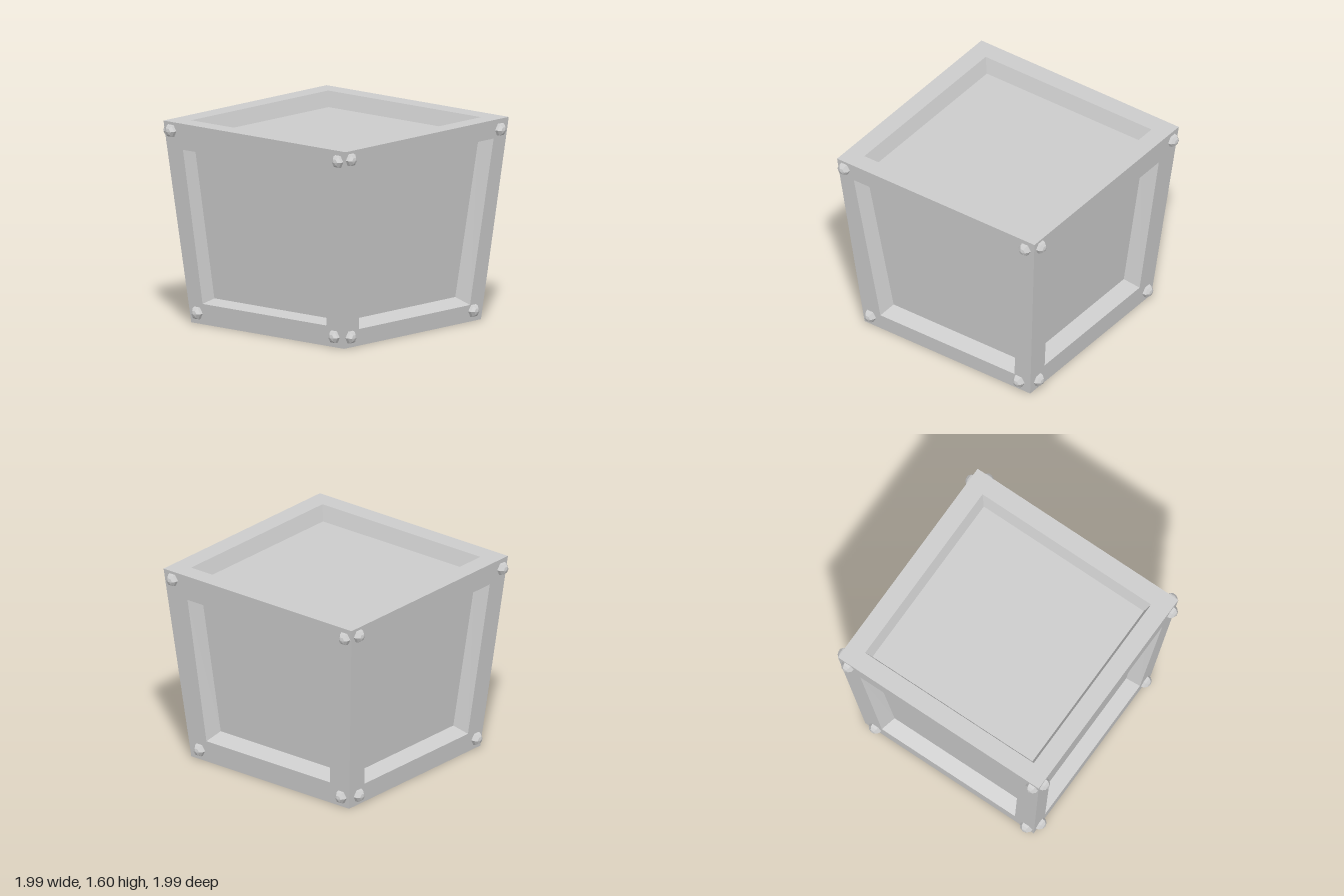
import * as THREE from 'three';

const HEIGHT = 1.6, BASE = 0.797, FLARE = 0.153;   // half width grows by FLARE towards the top
const SLOPE = FLARE / HEIGHT;
const material = new THREE.MeshStandardMaterial({ color: 0xcccccc, flatShading: true });

const halfWidth = (y) => BASE + SLOPE * y;

// Joins nested four-cornered loops with strips, then closes the last one
// (corners run anticlockwise seen from outside)
function recessedFace(name, loops) {
  const positions = [];
  const quad = (a, b, c, d) => [a, b, c, a, c, d].forEach((p) => positions.push(...p));
  for (let k = 0; k < loops.length - 1; k++) {
    for (let i = 0; i < 4; i++) {
      const j = (i + 1) % 4;
      quad(loops[k][i], loops[k][j], loops[k + 1][j], loops[k + 1][i]);
    }
  }
  quad(...loops[loops.length - 1]);
  const geometry = new THREE.BufferGeometry();
  geometry.setAttribute('position', new THREE.Float32BufferAttribute(positions, 3));
  geometry.computeVertexNormals();
  const mesh = new THREE.Mesh(geometry, material);
  mesh.name = name;
  return mesh;
}

// Six-sided domed bolt pointing along +z
const boltProfile = [[0.055, 0], [0.05, 0.022], [0.029, 0.043], [0, 0.052]];
const boltGeometry = new THREE.LatheGeometry(boltProfile.map(([r, y]) => new THREE.Vector2(r, y)), 6);
boltGeometry.rotateY(Math.PI / 2).rotateX(Math.PI / 2);

// Sloping side built facing +z, then turned into place
function createSide({ name, turn, bottom, top, inset, depth, bolts }) {
  const side = new THREE.Group();
  side.name = name + 'Side';
  const length = Math.hypot(1, SLOPE);
  const onFace = (h, y, d = 0) => [h, y + d * SLOPE / length, halfWidth(y) - d / length];
  const [bl, br, by] = bottom, [tl, tr, ty] = top;
  side.add(recessedFace(name + 'Panel', [
    [onFace(-BASE, 0), onFace(BASE, 0), onFace(BASE + FLARE, HEIGHT), onFace(-BASE - FLARE, HEIGHT)],
    [onFace(bl, by), onFace(br, by), onFace(tr, ty), onFace(tl, ty)],
    [onFace(bl + inset, by + inset, depth), onFace(br - inset, by + inset, depth),
      onFace(tr - inset, ty - inset, depth), onFace(tl + inset, ty - inset, depth)],
  ]));
  for (const [h, y] of bolts) {
    const bolt = new THREE.Mesh(boltGeometry, material);
    bolt.name = name + 'Bolt';
    bolt.position.set(...onFace(h, y));
    bolt.rotation.x = Math.atan(SLOPE);
    side.add(bolt);
  }
  side.rotation.y = turn;
  return side;
}

// Horizontal lid or floor with a square recess; dir is +1 for up, -1 for down
function createCap(name, y, dir, half, opening, inset, depth) {
  const square = (s, h) => [[-s, h, dir * s], [s, h, dir * s], [s, h, -dir * s], [-s, h, -dir * s]];
  return recessedFace(name, [square(half, y), square(opening, y), square(opening - inset, y - dir * depth)]);
}

export function createModel() {
  const crate = new THREE.Group();
  crate.name = 'taperedCrate';

  // Openings are [left, right, height] along the bottom and the top
  const sides = [
    { name: 'front', turn: 0, bottom: [-0.665, 0.625, 0.165], top: [-0.765, 0.76, 1.39], inset: 0.018, depth: 0.12,
      bolts: [[-0.725, 0.085], [0.705, 0.085], [-0.875, 1.53], [0.865, 1.515]] },
    { name: 'right', turn: Math.PI / 2, bottom: [-0.635, 0.655, 0.135], top: [-0.8, 0.79, 1.45], inset: 0.043, depth: 0.12,
      bolts: [[-0.735, 0.085], [0.695, 0.085], [-0.885, 1.53], [0.855, 1.515]] },
    { name: 'back', turn: Math.PI, bottom: [-0.63, 0.62, 0.18], top: [-0.725, 0.715, 1.39], inset: 0.045, depth: 0.125,
      bolts: [[-0.705, 0.085], [0.725, 0.085], [-0.865, 1.53], [0.875, 1.515]] },
    { name: 'left', turn: -Math.PI / 2, bottom: [-0.63, 0.63, 0.16], top: [-0.75, 0.75, 1.42], inset: 0.04, depth: 0.12,
      bolts: [[-0.695, 0.085], [0.735, 0.085], [-0.86, 1.53], [0.885, 1.515]] },
  ];
  for (const side of sides) crate.add(createSide(side));

  crate.add(createCap('topPanel', HEIGHT, 1, BASE + FLARE, 0.798, 0.041, 0.12));
  crate.add(createCap('bottomPanel', 0, -1, BASE, 0.655, 0.04, 0.11));

  crate.position.set(-0.006, 0, -0.006);
  const model = new THREE.Group();
  model.name = 'crate';
  model.add(crate);
  return model;
}
